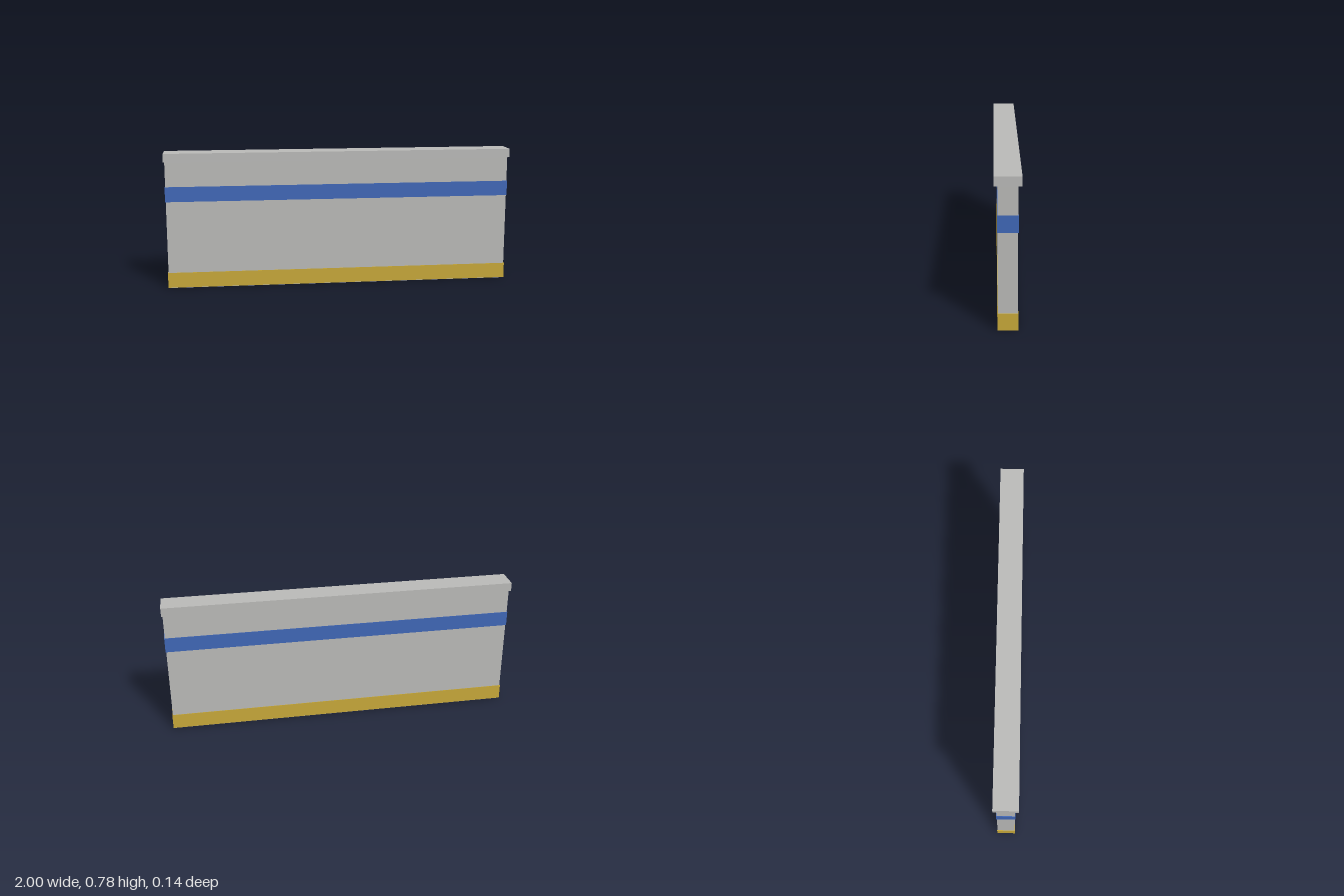
import * as THREE from 'three';

const paint = (name, color) => {
  const material = new THREE.MeshStandardMaterial({ color });
  material.name = name;
  return material;
};

export function createModel() {
  const group = new THREE.Group();
  group.name = 'wallPanel';

  const grey = paint('concrete grey', 0xbcbcba);
  const blue = paint('stripe blue', 0x4068b9);
  const yellow = paint('kick plate yellow', 0xc9aa3a);

  // Box centred on x and z, spanning bottom to top
  const addSlab = (name, material, width, depth, bottom, top) => {
    const mesh = new THREE.Mesh(new THREE.BoxGeometry(width, top - bottom, depth), material);
    mesh.position.y = (bottom + top) / 2;
    mesh.name = name;
    group.add(mesh);
  };

  // Main wall and the wider coping on top
  addSlab('wall', grey, 1.987, 0.098, 0, 0.735);
  addSlab('topCap', grey, 2, 0.136, 0.734, 0.783);

  // Coloured bands wrapping the wall, standing slightly proud of it
  addSlab('blueBand', blue, 1.994, 0.103, 0.505, 0.591);
  addSlab('yellowKickBand', yellow, 1.994, 0.103, 0.002, 0.09);

  return group;
}
